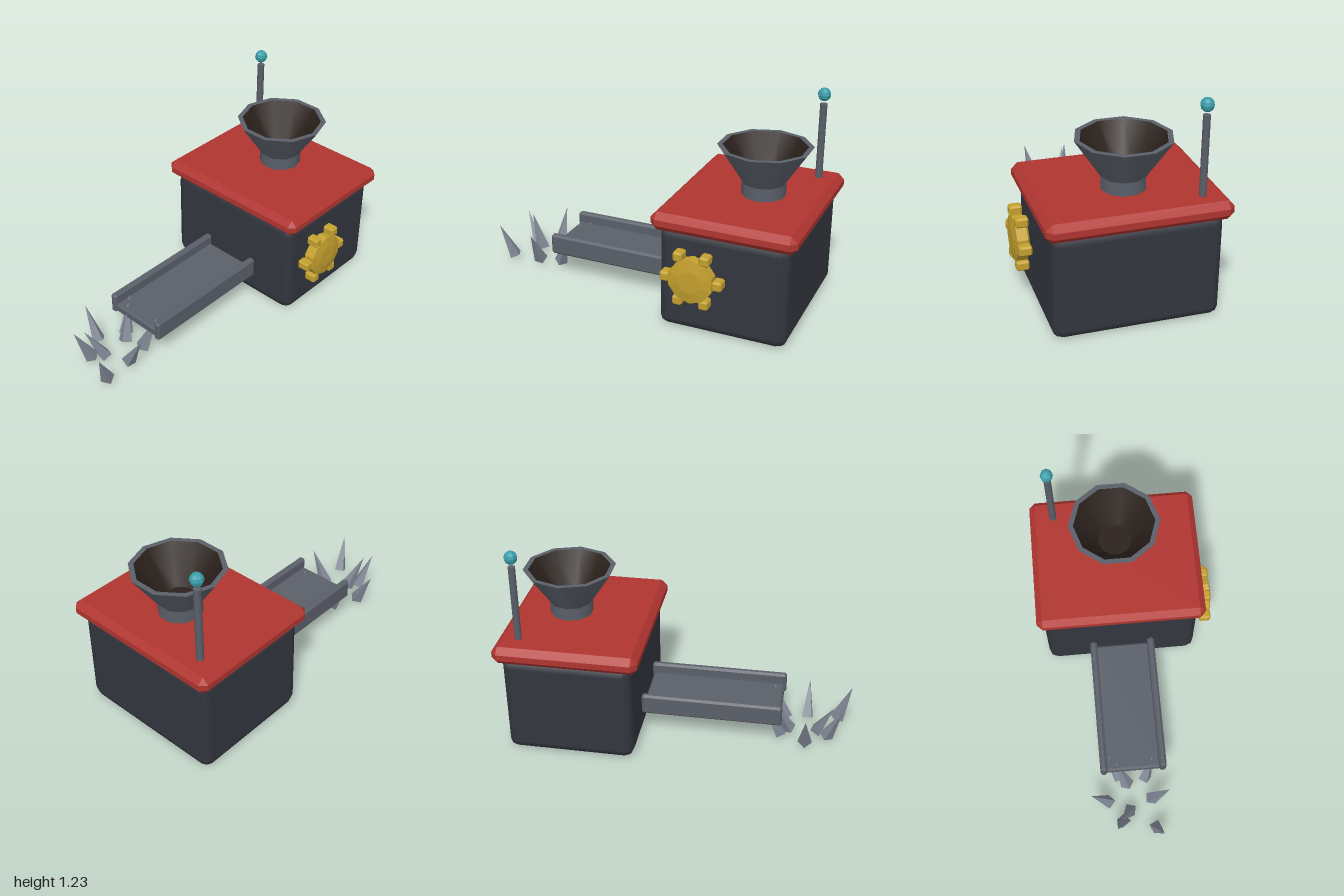
import * as THREE from 'three';
import { ConvexGeometry } from 'three/addons/geometries/ConvexGeometry.js';
import { RoundedBoxGeometry } from 'three/addons/geometries/RoundedBoxGeometry.js';

const paint = (color, flatShading = true, side = THREE.FrontSide) =>
  new THREE.MeshStandardMaterial({ color, flatShading, side });

// Box with every edge cut at 45 degrees
function chamferBox(w, h, d, c) {
  const points = [];
  for (const x of [-1, 1]) for (const y of [-1, 1]) for (const z of [-1, 1]) {
    const [a, b, e] = [w / 2, h / 2, d / 2];
    points.push(
      new THREE.Vector3(x * a, y * (b - c), z * (e - c)),
      new THREE.Vector3(x * (a - c), y * b, z * (e - c)),
      new THREE.Vector3(x * (a - c), y * (b - c), z * e));
  }
  return new ConvexGeometry(points);
}

const lathe = (profile, sides) => new THREE.LatheGeometry(
  profile.map(([r, y]) => new THREE.Vector2(r, y)), sides, Math.PI / 2);

export function createModel() {
  const model = new THREE.Group();
  const add = (name, geometry, material, [x, y, z], parent = model) => {
    const mesh = new THREE.Mesh(geometry, material);
    mesh.name = name;
    mesh.position.set(x, y, z);
    parent.add(mesh);
    return mesh;
  };
  const group = (name, x = 0, y = 0, z = 0) => {
    const g = new THREE.Group();
    g.name = name;
    g.position.set(x, y, z);
    model.add(g);
    return g;
  };

  const red = paint(0xb03530);
  const steel = paint(0x5a5f69);
  const smoothSteel = paint(0x5a5f69, false, THREE.DoubleSide);
  const brass = paint(0xc4a02e);
  const dark = paint(0x2b211c, false, THREE.DoubleSide);

  // Housing and lid
  add('body', new RoundedBoxGeometry(0.92, 0.6, 0.74, 1, 0.055), paint(0x33363f, false), [-0.033, 0.305, -0.59]);
  add('lid', chamferBox(0.995, 0.105, 0.82, 0.035), red, [-0.033, 0.642, -0.59]);

  // Hopper: outer wall, rim and dark lining
  const hopper = group('hopper', -0.033, 0, -0.66);
  const o = [0, 0, 0];
  add('hopperNeck', lathe([[0.124, 0.68], [0.124, 0.77]], 10), smoothSteel, o, hopper);
  add('hopperCone', lathe([[0.124, 0.77], [0.265, 0.98]], 10), smoothSteel, o, hopper);
  add('hopperRim', lathe([[0.265, 0.98], [0.235, 0.98]], 10), smoothSteel, o, hopper);
  add('hopperLining', lathe([[0.235, 0.98], [0.1, 0.77]], 10), dark, o, hopper);
  add('hopperFloor', lathe([[0.1, 0.77], [0, 0.77]], 10), dark, o, hopper);

  // Antenna with a separate floating ball
  add('antennaRod', new THREE.CylinderGeometry(0.021, 0.021, 0.46, 8), paint(0x5a5f69, false), [-0.39, 0.91, -0.875]);
  add('antennaBall', new THREE.SphereGeometry(0.038, 8, 6), paint(0x3a9eaa), [-0.39, 1.194, -0.875]);

  // Gear on the left side
  const gear = group('gear', 0.488, 0.362, -0.447);
  const disc = lathe([[0, -0.04], [0.115, -0.04], [0.13, -0.028], [0.13, 0.03], [0.065, 0.042], [0, 0.042]], 10);
  add('gearDisc', disc.rotateZ(-Math.PI / 2), brass, o, gear);
  for (let i = 0; i < 6; i++) {
    const a = i * Math.PI / 3;
    add('gearTooth', chamferBox(0.072, 0.056, 0.056, 0.01), brass,
      [-0.004, 0.15 * Math.sin(a), 0.15 * Math.cos(a)], gear);
  }

  // Chute: tray between two rails
  const chute = group('chute', -0.033, 0, 0.19);
  add('chuteTray', chamferBox(0.33, 0.06, 0.8, 0.012), steel, [0, 0.185, 0], chute);
  for (const s of [-1, 1])
    add('chuteRail', chamferBox(0.042, 0.125, 0.82, 0.012), steel, [s * 0.177, 0.213, 0], chute);

  // Ring of shards leaning outward: base x, z, then tip x, z
  const shards = group('shards');
  const shardPaint = paint(0x7f8693);
  const layout = [
    [-0.195, 0.74, -0.295, 0.74], [0.06, 0.74, 0.17, 0.74],
    [-0.115, 0.86, -0.155, 0.945], [-0.07, 0.8, -0.125, 0.895],
    [0.075, 0.915, 0.112, 0.995], [-0.075, 0.64, -0.135, 0.55],
    [-0.125, 0.59, -0.177, 0.5], [0.035, 0.61, 0.085, 0.53],
  ];
  layout.forEach(([bx, bz, tx, tz], i) => {
    const base = new THREE.Vector3(bx, 0.035, bz);
    const axis = new THREE.Vector3(tx, 0.24, tz).sub(base);
    const length = axis.length();
    const cone = new THREE.ConeGeometry(0.042, length, 4).rotateY(i * 0.7).translate(0, length / 2, 0);
    add('shard', cone, shardPaint, base.toArray(), shards)
      .quaternion.setFromUnitVectors(new THREE.Vector3(0, 1, 0), axis.normalize());
  });

  return model;
}
